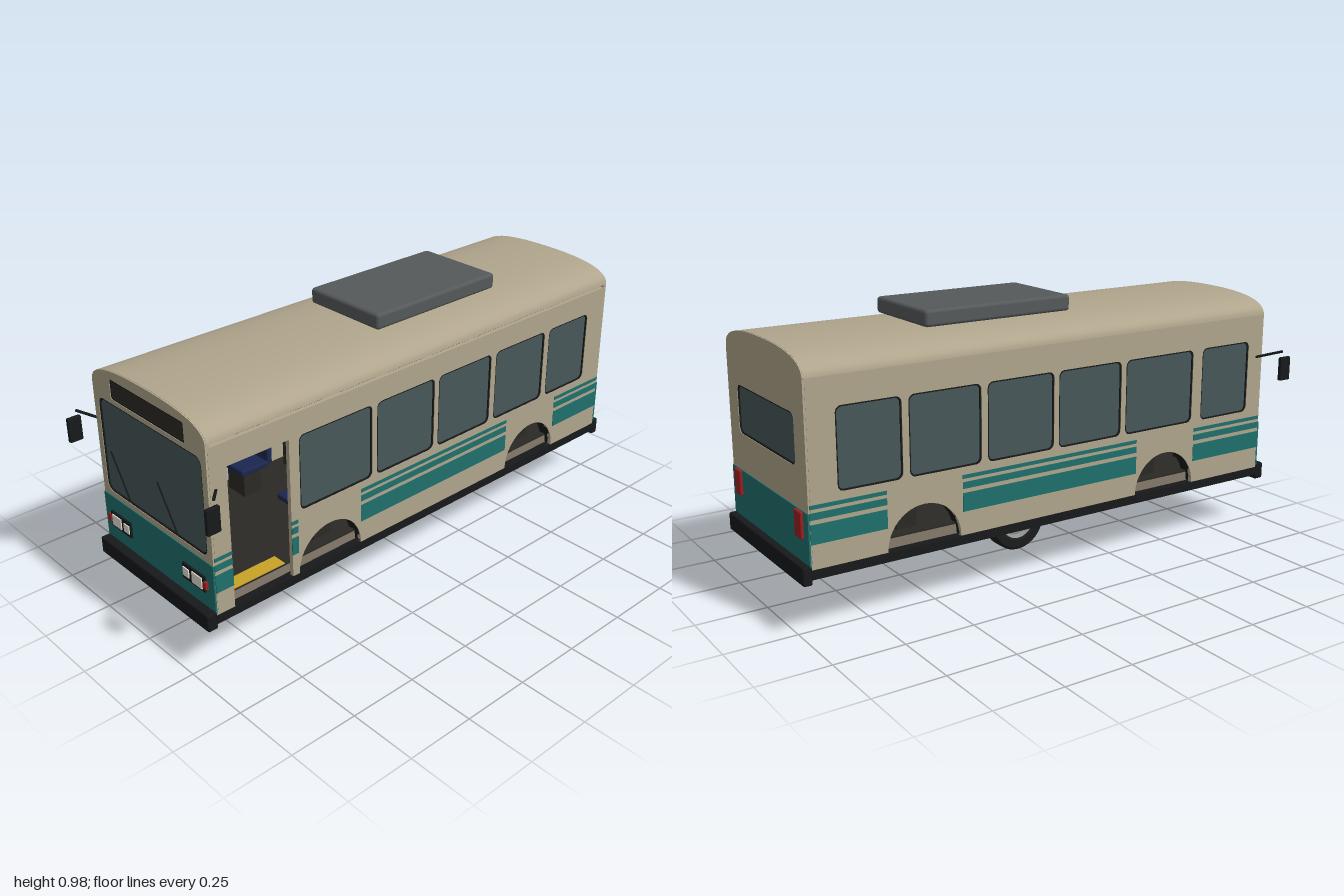
import * as THREE from 'three';
import { toCreasedNormals } from 'three/addons/utils/BufferGeometryUtils.js';
import { RoundedBoxGeometry } from 'three/addons/geometries/RoundedBoxGeometry.js';

const TAN = 0xb0a58c, TEAL = 0x1f706c, GLASS = 0x485759, BLACK = 0x17191a, NAVY = 0x1c2650,
  RED = 0x9c1f1f, WHITE = 0xe4e0d2, GREY = 0x8d8f8f, DARK = 0x2b2925;
const HALF = 0.31, FRONT = 0.932, BACK = -0.972, WALL = 0.016;
const ARCHES = [0.455, -0.565], ARCH_R = 0.137;

export function createModel() {
  const bus = new THREE.Group();
  bus.name = 'bus';
  const mats = {};
  const mat = (c) => (mats[c] ??= new THREE.MeshStandardMaterial({ color: c, side: THREE.DoubleSide }));

  const add = (name, geo, color, x = 0, y = 0, z = 0, parent = bus) => {
    const m = new THREE.Mesh(geo, mat(color));
    m.name = name;
    m.position.set(x, y, z);
    parent.add(m);
    return m;
  };
  // box given by its lower and upper limits on each axis
  const box = (name, color, [x0, x1], [y0, y1], [z0, z1], r = 0) => {
    const d = [x1 - x0, y1 - y0, z1 - z0];
    const geo = r ? new RoundedBoxGeometry(...d, 2, r) : new THREE.BoxGeometry(...d);
    return add(name, geo, color, (x0 + x1) / 2, (y0 + y1) / 2, (z0 + z1) / 2);
  };
  // round bar between two points
  const bar = (name, color, a, b, r) => {
    const curve = new THREE.LineCurve3(new THREE.Vector3(...a), new THREE.Vector3(...b));
    return add(name, new THREE.TubeGeometry(curve, 1, r, 8), color);
  };
  const roundRect = (x0, x1, y0, y1, r, Type = THREE.Shape) => {
    const s = new Type();
    s.moveTo(x0 + r, y0);
    s.absarc(x1 - r, y0 + r, r, -Math.PI / 2, 0);
    s.absarc(x1 - r, y1 - r, r, 0, Math.PI / 2);
    s.absarc(x0 + r, y1 - r, r, Math.PI / 2, Math.PI);
    s.absarc(x0 + r, y0 + r, r, Math.PI, Math.PI * 1.5);
    s.closePath();
    return s;
  };
  const extrude = (shape, depth) => toCreasedNormals(
    new THREE.ExtrudeGeometry(shape, { depth, bevelEnabled: false, curveSegments: 12 }), 0.5);
  // slab on a side wall (shape drawn in z, y) or on an end wall (shape drawn in x, y)
  const onSide = (s, name, shape, color, inset = 0, depth = WALL) => {
    const m = add(name, extrude(shape, depth), color, s > 0 ? HALF - inset : -HALF + inset + depth);
    m.rotation.y = -Math.PI / 2;
  };
  const onEnd = (s, name, shape, color, inset = 0, depth = WALL) =>
    add(name, extrude(shape, depth), color, 0, 0, s > 0 ? FRONT - inset - depth : BACK + inset);
  // recessed pane with a black rubber seal
  const pane = (place, s, name, x0, x1, y0, y1, r, color = GLASS) => {
    const g = 0.005;
    const seal = roundRect(x0, x1, y0, y1, r);
    seal.holes.push(roundRect(x0 + g, x1 - g, y0 + g, y1 - g, r - g / 2, THREE.Path));
    place(s, name + 'Seal', seal, BLACK, 0.002, WALL - 0.004);
    place(s, name, roundRect(x0, x1, y0, y1, r), color, 0.007, 0.004);
  };

  // side walls with wheel arches, windows and a doorway on the left
  const windows = [[0.264, 0.58], [-0.03, 0.243], [-0.32, -0.05], [-0.616, -0.344], [-0.87, -0.64]];
  for (const s of [1, -1]) {
    const wall = new THREE.Shape();
    wall.moveTo(-0.965, 0.23);
    for (const c of [...ARCHES].reverse()) {
      wall.lineTo(c - ARCH_R, 0.23);
      wall.absarc(c, 0.235, ARCH_R, Math.PI, 0, true);
      wall.lineTo(c + ARCH_R, 0.23);
    }
    if (s > 0) for (const p of [[0.62, 0.23], [0.62, 0.745], [0.86, 0.745], [0.86, 0.23]]) wall.lineTo(...p);
    const top = s > 0 ? 0.829 : 0.842;
    wall.lineTo(0.925, 0.23);
    wall.lineTo(0.925, top);
    wall.lineTo(-0.965, top);
    const list = s > 0 ? windows : [[0.625, 0.86], ...windows];
    for (const [a, b] of list) wall.holes.push(roundRect(a, b, 0.47, 0.745, 0.022, THREE.Path));
    onSide(s, 'sideWall', wall, TAN);
    for (const [a, b] of list) pane(onSide, s, 'sideWindow', a, b, 0.47, 0.745, 0.022);

    // teal stripes, broken by arches and doorway
    const runs = [[-0.968, -0.702], [-0.42, 0.318]];
    runs.push(...(s > 0 ? [[0.594, 0.62], [0.86, 0.928]] : [[0.594, 0.928]]));
    const xs = [s * HALF - 0.002, s * HALF + 0.002];
    for (const run of runs)
      for (const ys of [[0.315, 0.38], [0.395, 0.418], [0.43, 0.443]]) box('sideStripe', TEAL, xs, ys, run);

    // arch liners
    for (const c of ARCHES) {
      const liner = new THREE.CylinderGeometry(ARCH_R, ARCH_R, 0.05, 24, 1, true, 0, Math.PI);
      liner.rotateZ(Math.PI / 2).rotateX(0);
      // keep the half that arches upward
      liner.computeBoundingBox();
      if (liner.boundingBox.max.y < 0.1) liner.rotateX(liner.boundingBox.max.z > 0.1 && liner.boundingBox.min.z > -0.1 ? -Math.PI / 2 : Math.PI);
      add('archLiner', liner, BLACK, s * (HALF - 0.03), 0.235, c);
    }
  }

  // roof shell
  const roof = new THREE.Shape();
  roof.moveTo(HALF, 0.84);
  roof.bezierCurveTo(HALF, 0.895, 0.2, 0.917, 0, 0.917);
  roof.bezierCurveTo(-0.2, 0.917, -HALF, 0.895, -HALF, 0.84);
  roof.lineTo(-HALF + WALL, 0.84);
  roof.bezierCurveTo(-HALF + WALL, 0.885, -0.2, 0.902, 0, 0.902);
  roof.bezierCurveTo(0.2, 0.902, HALF - WALL, 0.885, HALF - WALL, 0.84);
  add('roof', extrude(roof, 1.895), TAN, 0, 0, -0.968);

  // end walls
  for (const s of [1, -1]) {
    const w = HALF - 0.001, end = new THREE.Shape();
    end.moveTo(-w, 0.22);
    end.lineTo(w, 0.22);
    end.lineTo(w, 0.84);
    end.bezierCurveTo(w, 0.895, 0.2, 0.916, 0, 0.916);
    end.bezierCurveTo(-0.2, 0.916, -w, 0.895, -w, 0.84);
    const holes = s > 0
      ? [['windscreen', -0.283, 0.283, 0.437, 0.788, 0.03, GLASS], ['destinationPanel', -0.202, 0.202, 0.805, 0.877, 0.008, DARK]]
      : [['rearWindow', -0.23, 0.23, 0.55, 0.72, 0.025, GLASS]];
    for (const h of holes) end.holes.push(roundRect(...h.slice(1, 6), THREE.Path));
    onEnd(s, s > 0 ? 'frontWall' : 'rearWall', end, TAN);
    for (const h of holes) pane(onEnd, s, ...h);
    const z = s > 0 ? FRONT : BACK;
    box('endPanel', TEAL, [-HALF, HALF], [0.235, 0.417], [z - 0.003, z + 0.003]);
  }
  box('frontBumper', BLACK, [-0.312, 0.312], [0.182, 0.245], [0.93, 0.968], 0.006);
  box('rearBumper', BLACK, [-0.312, 0.312], [0.182, 0.245], [-1, -0.968], 0.006);

  // roof air unit
  box('roofUnit', 0x55595a, [-0.173, 0.173], [0.918, 0.976], [-0.47, 0.113], 0.012);

  // lamps and mirrors on both sides
  const span = (s, a, b) => (s > 0 ? [a, b] : [-b, -a]);
  for (const s of [1, -1]) {
    box('headlampHousing', BLACK, span(s, 0.15, 0.268), [0.302, 0.36], [0.93, 0.942]);
    box('innerHeadlamp', WHITE, span(s, 0.156, 0.187), [0.316, 0.347], [0.94, 0.946]);
    box('outerHeadlamp', WHITE, span(s, 0.204, 0.257), [0.311, 0.352], [0.94, 0.946]);
    box('sideMarker', RED, span(s, 0.266, 0.28), [0.318, 0.345], [0.932, 0.946]);
    box('tailLamp', RED, span(s, 0.225, 0.275), [0.325, 0.415], [-0.985, -0.97], 0.004);
    bar('mirrorArm', BLACK, [s * 0.305, 0.678, 0.9], [s * 0.385, 0.707, 0.965], 0.005);
    box('mirror', BLACK, span(s, 0.379, 0.395), [0.595, 0.685], [0.95, 1], 0.004);
  }
  for (const x of [-0.228, 0.04]) bar('wiper', BLACK, [x, 0.605, 0.938], [x + 0.094, 0.452, 0.938], 0.003);

  // underbody and cabin floor
  box('underbody', BLACK, [-0.312, 0.312], [0.2, 0.232], [-0.97, 0.932]);
  box('floorBase', 0x857b6b, [-0.28, 0.28], [0.232, 0.266], [-0.95, 0.91]);
  box('floorCover', DARK, [-0.281, 0.281], [0.266, 0.272], [-0.95, 0.91]);
  box('stepEdge', 0xc9a227, [0.225, 0.28], [0.272, 0.275], [0.63, 0.85]);

  // seats: cushion, back and pedestal
  const seat = (name, x, z, w) => {
    box(name + 'Cushion', NAVY, [x - w / 2, x + w / 2], [0.39, 0.412], [z - 0.04, z + 0.08], 0.006);
    box(name + 'Back', NAVY, [x - w / 2, x + w / 2], [0.4, 0.57], [z - 0.055, z - 0.032], 0.006);
    box(name + 'Pedestal', DARK, [x - w / 4, x + w / 4], [0.27, 0.392], [z - 0.035, z + 0.04]);
  };
  seat('driverSeat', -0.15, 0.7, 0.13);
  for (let i = 0; i < 6; i++) for (const x of [-0.19, 0.19]) seat('passengerSeat', x, 0.43 - i * 0.2567, 0.19);

  // driver controls
  box('dashboard', BLACK, [-0.28, 0.1], [0.35, 0.48], [0.83, 0.865], 0.008);
  bar('steeringColumn', BLACK, [-0.15, 0.46, 0.84], [-0.15, 0.505, 0.806], 0.008);
  const steering = add('steeringWheel', new THREE.TorusGeometry(0.045, 0.005, 8, 24), BLACK, -0.15, 0.507, 0.804);
  steering.rotation.x = 0.95;

  // single wheel under the middle, axle along x
  const wheel = new THREE.Group();
  wheel.name = 'wheel';
  wheel.position.set(0, 0.115, -0.01);
  wheel.rotation.z = -Math.PI / 2;
  bus.add(wheel);
  const lathe = (pts) => toCreasedNormals(new THREE.LatheGeometry(pts.map((p) => new THREE.Vector2(...p)), 40), 0.5);
  add('tyre', lathe([[0.07, -0.03], [0.078, -0.035], [0.106, -0.035], [0.115, -0.026], [0.115, 0.026],
    [0.106, 0.035], [0.078, 0.035], [0.07, 0.03], [0.07, -0.03]]), 0x1c1c1c, 0, 0, 0, wheel);
  add('rim', lathe([[0, -0.015], [0.06, -0.015], [0.071, -0.03], [0.071, 0.031], [0.062, 0.022],
    [0.03, 0.02], [0.026, 0.027], [0, 0.027]]), GREY, 0, 0, 0, wheel);
  for (let i = 0; i < 6; i++) {
    const a = (i * Math.PI) / 3;
    add('wheelBolt', new THREE.CylinderGeometry(0.005, 0.005, 0.006, 8), DARK,
      Math.cos(a) * 0.043, 0.022, Math.sin(a) * 0.043, wheel);
  }
  return bus;
}
